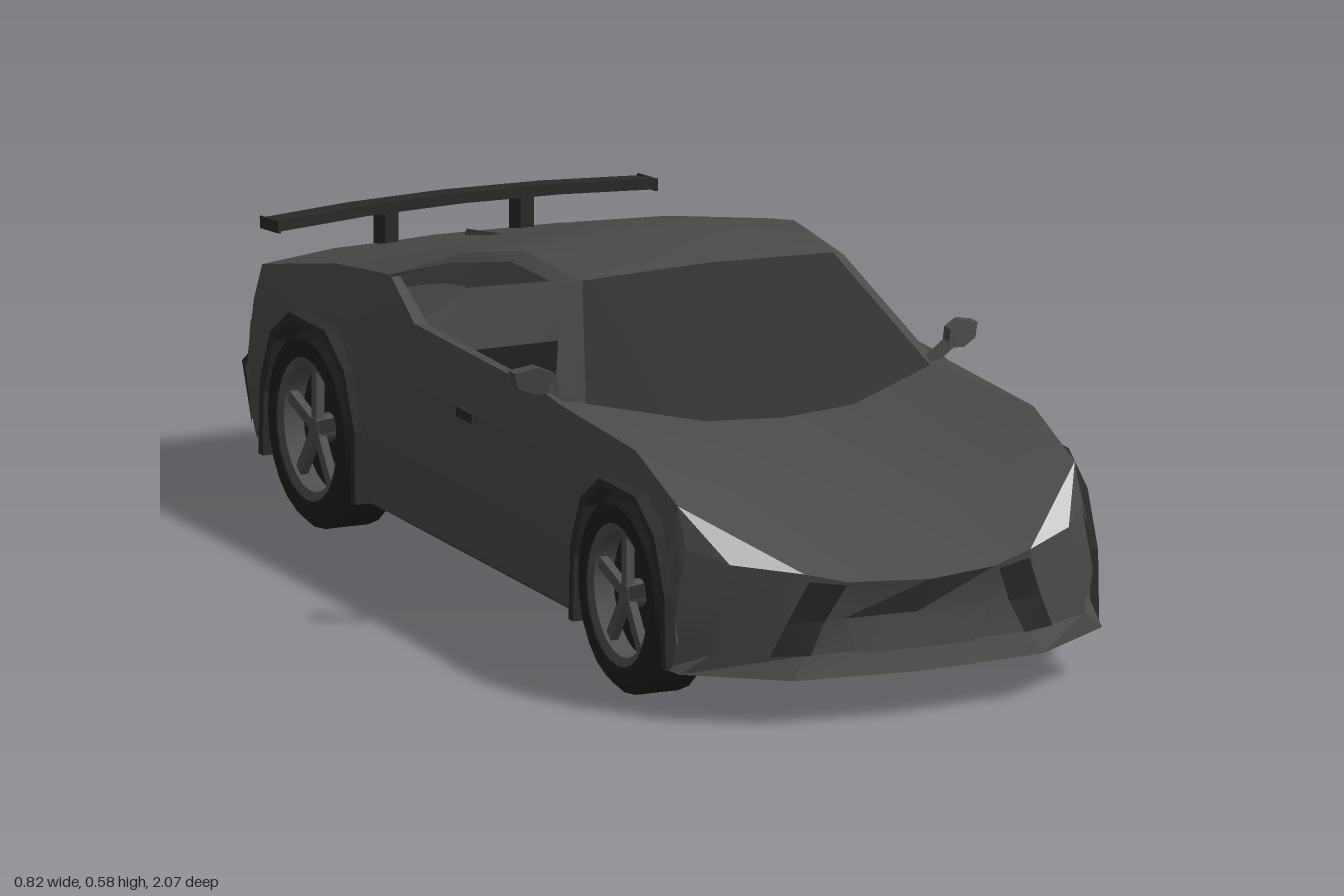
import * as THREE from 'three';
import { toCreasedNormals } from 'three/addons/utils/BufferGeometryUtils.js';

const paint = (color) => new THREE.MeshStandardMaterial({ color, side: THREE.DoubleSide });

// Straight-line interpolation in a table of [key, value], keys in descending order
function at(table, k) {
  for (let i = 0; i < table.length - 1; i++) {
    const [a, va] = table[i], [b, vb] = table[i + 1];
    if (k >= b) return va + (vb - va) * Math.min(1, Math.max(0, (k - a) / (b - a)));
  }
  return table[table.length - 1][1];
}

// Surface through rows of points; smooth except at creases
function loft(rows, crease = 0.35) {
  const n = rows[0].length, index = [];
  for (let r = 0; r < rows.length - 1; r++) {
    for (let c = 0; c < n - 1; c++) {
      const a = r * n + c, b = a + n;
      index.push(a, b, a + 1, a + 1, b, b + 1);
    }
  }
  const g = new THREE.BufferGeometry();
  g.setAttribute('position', new THREE.Float32BufferAttribute(rows.flat(2), 3));
  g.setIndex(index);
  return toCreasedNormals(g, crease);
}

// Completes rows that start on the centre line
const whole = (rows) => rows.map((r) => [...r.slice(1).reverse().map(([x, y, z]) => [-x, y, z]), ...r]);

// Mirrored copy of a geometry with its corner order restored
function mirror(geo) {
  const g = geo.index ? geo.toNonIndexed() : geo.clone();
  g.applyMatrix4(new THREE.Matrix4().makeScale(-1, 1, 1));
  for (const name of ['position', 'normal']) {
    const v = g.attributes[name].array;
    for (let i = 0; i < v.length; i += 9) {
      for (let k = 0; k < 3; k++) [v[i + k], v[i + 6 + k]] = [v[i + 6 + k], v[i + k]];
    }
  }
  return g;
}

const box = (w, h, d, x, y, z, rx = 0, ry = 0) =>
  new THREE.BoxGeometry(w, h, d).rotateX(rx).rotateY(ry).translate(x, y, z);

export function createModel() {
  const car = new THREE.Group();
  car.name = 'sportsCar';
  const body = paint(0x4b4b4b), trim = paint(0x2b2b2b), glass = paint(0x303030), tyreBlack = paint(0x202020);
  const rimGrey = paint(0x505050), lampWhite = paint(0xcccccc), lampRed = paint(0xcc0000), floorBlack = paint(0x1c1c1c);
  [body, trim, glass, tyreBlack, rimGrey, lampWhite, lampRed, floorBlack].forEach((m, i) => {
    m.name = ['bodyGrey', 'trimDark', 'glassDark', 'tyreBlack', 'rimGrey', 'lampWhite', 'lampRed', 'floorBlack'][i];
  });

  const add = (name, geo, mat) => {
    const m = new THREE.Mesh(geo, mat);
    m.name = name;
    car.add(m);
  };
  const both = (name, geo, mat) => {
    add(name + 'Left', geo, mat);
    add(name + 'Right', mirror(geo), mat);
  };

  // Hood, windscreen and roof down to the tail
  const base = [[0, .372, .43], [.13, .376, .415], [.305, .405, .335]];
  add('hood', loft(whole([
    [[0, .235, 1], [.13, .235, .965], [.2, .252, .95], [.352, .345, .79]],
    [[0, .31, .75], [.14, .315, .74], [.26, .35, .72], [.352, .40, .63]],
    [...base, [.345, .405, .32]],
  ])), body);
  const roof = [
    [[0, .565, .15], [.1, .562, .148], [.222, .556, .14]],
    [[0, .577, -.05], [.12, .574, -.05], [.24, .564, -.05]],
    [[0, .548, -.22], [.13, .543, -.22], [.27, .525, -.22]],
    [[0, .513, -.37], [.16, .506, -.37], [.328, .46, -.37]],
    [[0, .437, -.6], [.17, .436, -.6], [.32, .425, -.6]],
    [[0, .38, -.86], [.2, .378, -.86], [.33, .365, -.86]],
    [[0, .365, -.92], [.2, .363, -.9], [.31, .362, -.875]],
  ];
  add('windscreen', loft(whole([base, roof[0]])), glass);
  add('roof', loft(whole(roof)), body);
  const edge = [base[2], ...roof.slice(0, 4).map((r) => r[2])];
  const opening = [[.33, .41, .27], [.25, .545, .12], [.262, .548, -.05], [.29, .51, -.22], [.328, .455, -.37]];
  both('windowFrame', loft([edge, opening]), body);
  both('windowSill', loft([
    [[.345, .405, .32], [.345, .41, .27], [.345, .41, -.24], [.328, .46, -.37]],
    [[.305, .405, .335], [.32, .405, .27], [.32, .405, -.24], [.31, .455, -.37]],
  ]), body);
  add('cabinFloor', box(.66, .01, .8, 0, .3, -.02), floorBlack);
  add('deckRidge', loft([-.58, -.7, -.79].map((z, i) => {
    const y = .437 + (z + .6) * .22, w = .006 * i / 2;
    return [[-w, y - .004, z], [0, y + .005 * i, z], [w, y - .004, z]];
  }), 0.1), body);

  // Side panels, their lower edge cut out around the wheels
  const arch = (c) => [[c + .187, .08], [c + .183, .2], [c + .143, .292], [c + .07, .342],
    [c - .07, .342], [c - .143, .292], [c - .183, .2], [c - .187, .08]];
  const wheelZ = [.627, -.57];
  const lower = [[.82, .08], ...arch(.627), ...arch(-.57), [-.86, .08]];
  const top = [[.82, .28], [.79, .345], [.63, .40], [.32, .405], [.27, .41], [-.24, .41], [-.37, .46], [-.6, .425], [-.86, .365]];
  const topX = [[.82, .35], [.63, .352], [.32, .345], [-.24, .345], [-.37, .328], [-.6, .32], [-.86, .33]];
  const width = [[.82, .37], [.6, .378], [.2, .362], [-.2, .365], [-.55, .378], [-.86, .355]];
  const stations = [...new Set([...lower, ...top].map((p) => p[0]))].sort((a, b) => b - a);
  both('sidePanel', loft(stations.map((z) => {
    const yt = at(top, z), yb = at(lower, z), xt = at(topX, z), w = at(width, z);
    const curve = [[1, xt], [.8, w + (xt - w) * .4], [.5, w], [.2, w - .002], [0, w - .015]];
    return [0, .2, .5, .8, 1].map((u) => {
      const y = Math.max(yb, .08 + u * (yt - .08));
      return [at(curve, (y - .08) / (yt - .08)), y, z];
    });
  })), body);
  both('doorHandle', box(.012, .016, .06, .366, .318, .01), trim);

  // Front bumper, intakes, lip and headlights
  add('frontBumper', loft(whole([
    [[0, .235, 1], [.13, .235, .965], [.2, .252, .95], [.3, .262, .88], [.35, .28, .82]],
    [[0, .17, .95], [.13, .17, .945], [.22, .17, .93], [.32, .18, .87], [.37, .17, .82]],
    [[0, .1, .95], [.1, .1, .95], [.22, .1, .93], [.31, .1, .87], [.355, .08, .82]],
  ])), body);
  add('frontLip', loft(whole([
    [[0, .115, .955], [.2, .115, .945], [.33, .115, .875], [.358, .137, .82]],
    [[0, .078, .978], [.22, .078, .955], [.375, .08, .845], [.38, .08, .80]],
  ])), body);
  add('lipCentre', loft(whole([
    [[0, .166, .957], [.065, .164, .955], [.08, .145, .957]],
    [[0, .112, .958], [.07, .112, .957], [.1, .112, .956]],
  ])), body);
  both('frontIntake', loft([
    [[.135, .232, .972], [.195, .24, .957]],
    [[.163, .17, .948], [.225, .17, .936]],
    [[.19, .115, .951], [.25, .115, .926]],
  ]), trim);
  both('headlight', loft([
    [[.2, .252, .95], [.2, .252, .95]],
    [[.3, .262, .88], [.352, .345, .79]],
  ]), lampWhite);
  both('headlightCorner', loft([
    [[.3, .262, .88], [.3, .262, .88]],
    [[.35, .28, .82], [.352, .345, .79]],
  ]), body);

  // Tail, diffuser, exhausts and rear lights
  add('rearBumper', loft(whole([
    [[0, .365, -.92], [.2, .363, -.9], [.31, .362, -.875], [.33, .365, -.86]],
    [[0, .26, -.965], [.2, .26, -.945], [.33, .26, -.905], [.352, .26, -.86]],
    [[0, .19, -.95], [.2, .19, -.93], [.335, .19, -.895], [.355, .19, -.86]],
    [[0, .08, -.93], [.2, .08, -.915], [.32, .08, -.885], [.34, .08, -.86]],
  ])), body);
  add('diffuser', loft(whole([
    [[0, .135, -.945], [.11, .135, -.94], [.19, .175, -.932], [.335, .21, -.9], [.357, .215, -.855]],
    [[0, .13, -.968], [.12, .13, -.962], [.2, .165, -.952], [.343, .195, -.91], [.362, .2, -.855]],
    [[0, .085, -.955], [.14, .085, -.95], [.22, .09, -.94], [.33, .1, -.9], [.35, .1, -.855]],
  ])), trim);
  add('rearPanel', box(.15, .075, .012, 0, .235, -.962), body);
  for (const [x, r, z] of [[-.085, .022, -.985], [0, .03, -1], [.085, .022, -.985]]) {
    const pipe = new THREE.LatheGeometry([[r * .75, -.05], [r * .75, 0], [r, 0], [r, .07]]
      .map(([a, b]) => new THREE.Vector2(a, -b)), 10);
    add('exhaust', toCreasedNormals(pipe.rotateX(Math.PI / 2).translate(x, .122, z), 0.7), rimGrey);
    add('exhaustInside', new THREE.CircleGeometry(r * .75, 10).rotateY(Math.PI).translate(x, .122, z + .02), floorBlack);
  }
  both('rearLightBar', box(.16, .016, .014, .22, .31, -.919, .3, -.28), lampRed);
  both('rearLightEnd', box(.016, .075, .014, .302, .315, -.893, .38, -.28), lampRed);

  // Rear wing on two posts
  add('rearWing', loft([-.335, -.17, 0, .17, .335].map((x) => {
    const c = (1 - (x / .335) ** 2), z = -.782 - .025 * c, y = .455 + .006 * c;
    return [[x, y, z], [x, y - .012, z - .075], [x, y - .028, z - .075], [x, y - .018, z], [x, y, z]];
  })), trim);
  both('wingEnd', box(.004, .02, .072, .334, .44, -.82, -.1), trim);
  both('wingPost', box(.024, .085, .045, .12, .402, -.84), trim);

  // Door mirrors
  const head = new THREE.Shape([[.345, .425], [.35, .455], [.375, .465], [.41, .455], [.405, .43], [.38, .42]]
    .map((p) => new THREE.Vector2(...p)));
  const mirrorHead = new THREE.ExtrudeGeometry(head, { depth: .025, bevelEnabled: false });
  const mp = mirrorHead.attributes.position;
  for (let i = 0; i < mp.count; i++) mp.setZ(i, mp.getZ(i) + .295 - (mp.getX(i) - .34) * .45);
  mirrorHead.computeVertexNormals();
  both('mirror', mirrorHead, body);
  both('mirrorStalk', new THREE.BoxGeometry(.055, .014, .02).rotateZ(.65).translate(.338, .42, .305), body);

  // Flat floor, notched for the wheels
  const halfFloor = [[.2, .955], [.37, .84], [.36, .814], [.26, .814], [.26, .44], [.355, .44],
    [.355, -.383], [.26, -.383], [.26, -.757], [.345, -.757], [.34, -.86], [.2, -.93]];
  const outline = [...halfFloor, ...halfFloor.map(([x, z]) => [-x, z]).reverse()];
  const floorShape = new THREE.Shape(outline.map(([x, z]) => new THREE.Vector2(x, z)));
  add('floor', new THREE.ShapeGeometry(floorShape).rotateX(Math.PI / 2).translate(0, .08, 0), floorBlack);

  // Wheels with arches
  const lathe = (pts, seg) => toCreasedNormals(new THREE.LatheGeometry(
    pts.map(([r, x]) => new THREE.Vector2(r, x)), seg).rotateZ(-Math.PI / 2), 0.5);
  const tyre = lathe([[.115, -.0525], [.148, -.0525], [.163, -.038], [.163, .038], [.148, .0525], [.118, .0525], [.115, .035]], 24);
  const rim = lathe([[.103, .0], [.103, .045], [.118, .05], [.118, .03]], 24);
  const hub = new THREE.CylinderGeometry(.02, .024, .03, 10).rotateZ(-Math.PI / 2);
  const disc = new THREE.CylinderGeometry(.115, .115, .02, 24).rotateZ(-Math.PI / 2);
  const well = arch(0).map((p) => new THREE.Vector2(...p));
  const flareShape = new THREE.Shape([...well, ...well.map((p) =>
    new THREE.Vector2(p.x * .91, p.y < .1 ? p.y : p.y - .012)).reverse()]);
  const flare = new THREE.ExtrudeGeometry(flareShape, { depth: .124, bevelEnabled: false }).rotateY(Math.PI / 2);
  const wall = new THREE.ShapeGeometry(new THREE.Shape(well)).rotateY(Math.PI / 2);
  wheelZ.forEach((z, i) => {
    const pre = i ? 'rear' : 'front';
    const place = (g) => g.clone().translate(.3325, .163, z);
    both(pre + 'Tyre', place(tyre), tyreBlack);
    both(pre + 'Rim', place(rim), rimGrey);
    both(pre + 'WheelDisc', place(disc), tyreBlack);
    both(pre + 'Hub', place(hub.clone().translate(.025, 0, 0)), rimGrey);
    for (let k = 0; k < 5; k++) {
      const spoke = new THREE.BoxGeometry(.014, .095, .02).translate(.032, .06, 0).rotateX(k * Math.PI * 2 / 5);
      both(pre + 'Spoke', place(spoke), rimGrey);
    }
    both(pre + 'Arch', flare.clone().translate(.26, 0, z), trim);
    both(pre + 'WheelWell', wall.clone().translate(.261, 0, z), floorBlack);
  });
  return car;
}
